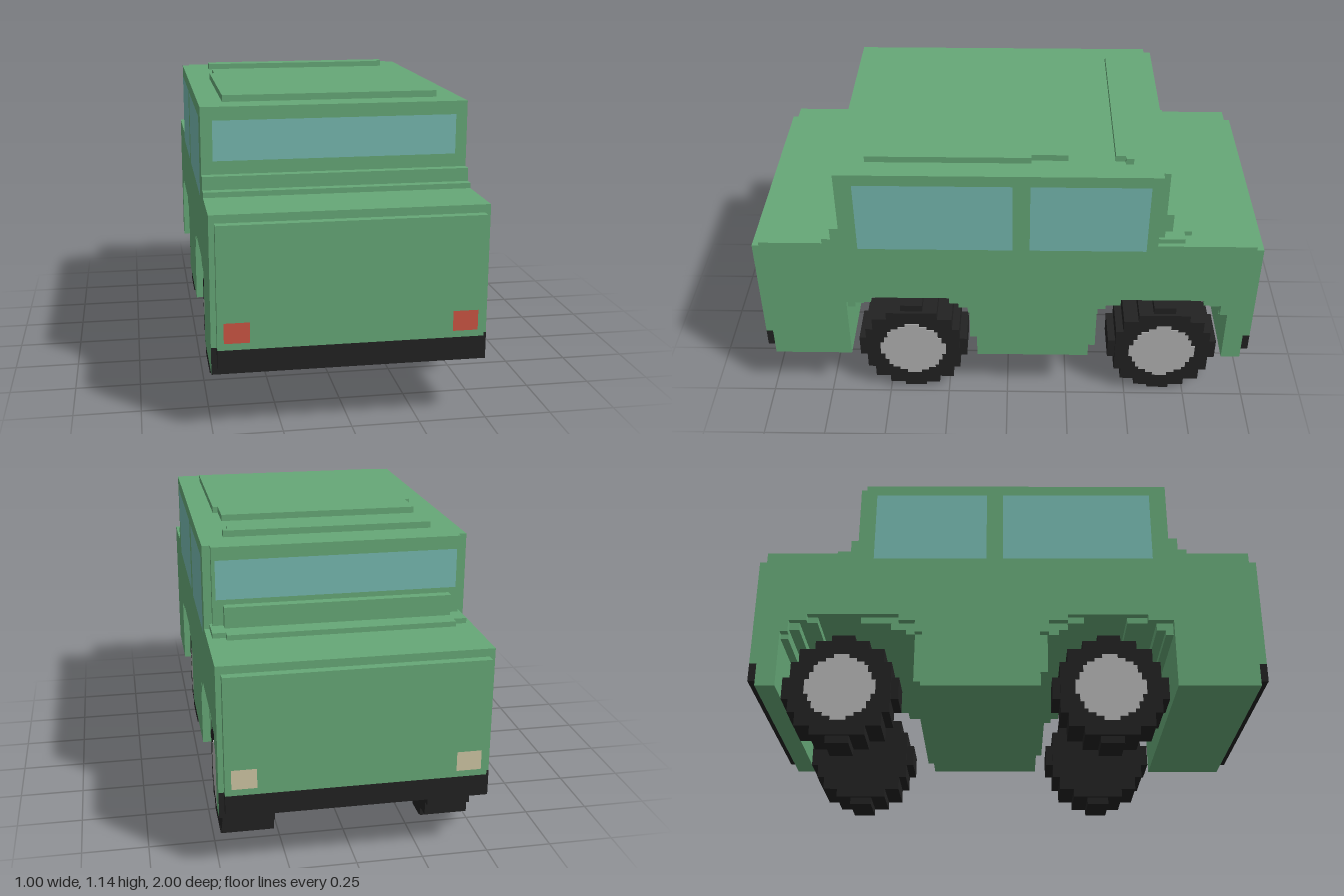
import * as THREE from 'three';

const mat = (color) => new THREE.MeshStandardMaterial({ color, flatShading: true });

export function createModel() {
  const car = new THREE.Group();
  car.name = 'blockyCar';
  const green = mat(0x66a877), black = mat(0x222222), glass = mat(0x76b9b0);
  const red = mat(0xcc5544), cream = mat(0xcfc6a4), grey = mat(0xb3b3b3);

  const add = (name, geometry, material, parent = car) => {
    const mesh = new THREE.Mesh(geometry, material);
    mesh.name = name;
    parent.add(mesh);
    return mesh;
  };
  // box given by its limits
  const box = (name, material, x0, x1, y0, y1, z0, z1) =>
    add(name, new THREE.BoxGeometry(x1 - x0, y1 - y0, z1 - z0), material)
      .position.set((x0 + x1) / 2, (y0 + y1) / 2, (z0 + z1) / 2);
  // side profile of [z, y] points, extruded from x0 to x1
  const slab = (points, x0, x1) => {
    const shape = new THREE.Shape(points.map(([z, y]) => new THREE.Vector2(z, y)));
    return new THREE.ExtrudeGeometry(shape, { depth: x1 - x0, bevelEnabled: false })
      .rotateY(-Math.PI / 2).translate(x1, 0, 0);
  };
  // flat painted patch on the front (dir 1) or back (dir -1)
  const endPatch = (name, material, x0, x1, y0, y1, z, dir) => {
    const m = add(name, new THREE.PlaneGeometry(x1 - x0, y1 - y0), material);
    m.position.set((x0 + x1) / 2, (y0 + y1) / 2, z + dir * 0.002);
    if (dir < 0) m.rotation.y = Math.PI;
  };

  // Body: a core and two outer skins, each with stepped wheel arches
  const top = (back) => [
    [0.967, 0.22], [0.967, 0.8], [0.72, 0.8], [0.72, 0.82], [0.685, 0.82], [0.685, 0.87],
    [0.65, 0.87], [0.65, 1.12], [back, 1.12], [back, 0.8], [-0.967, 0.8], [-0.967, 0.22],
  ];
  const skinArches = [
    [-0.89, 0.22], [-0.89, 0.45], [-0.86, 0.45], [-0.86, 0.5], [-0.79, 0.5], [-0.79, 0.525],
    [-0.43, 0.525], [-0.43, 0.5], [-0.365, 0.5], [-0.365, 0.45], [-0.335, 0.45], [-0.335, 0.22],
    [0.125, 0.22], [0.125, 0.45], [0.16, 0.45], [0.16, 0.5], [0.235, 0.5], [0.235, 0.525],
    [0.55, 0.525], [0.55, 0.5], [0.65, 0.5], [0.65, 0.22],
  ];
  const coreArches = [
    [-0.89, 0.22], [-0.89, 0.43], [-0.86, 0.43], [-0.86, 0.47], [-0.82, 0.47], [-0.82, 0.5],
    [-0.75, 0.5], [-0.75, 0.525], [-0.58, 0.525], [-0.58, 0.5], [-0.46, 0.5], [-0.46, 0.47],
    [-0.4, 0.47], [-0.4, 0.45], [-0.365, 0.45], [-0.365, 0.25], [-0.335, 0.25], [-0.335, 0.22],
    [0.125, 0.22], [0.125, 0.29], [0.155, 0.29], [0.155, 0.45], [0.2, 0.45], [0.2, 0.47],
    [0.235, 0.47], [0.235, 0.5], [0.3, 0.5], [0.3, 0.525], [0.47, 0.525], [0.47, 0.5],
    [0.585, 0.5], [0.585, 0.47], [0.62, 0.47], [0.62, 0.45], [0.65, 0.45], [0.65, 0.22],
  ];
  add('bodyCore', slab([...top(-0.61), ...coreArches], -0.47, 0.47), green);
  add('bodySkinRight', slab([...top(-0.583), ...skinArches], -0.5, -0.47), green);
  add('bodySkinLeft', slab([...top(-0.583), ...skinArches], 0.47, 0.5), green);

  // Steps below the rear window
  box('rearStepUpper', green, -0.43, 0.43, 0.8, 0.9, -0.645, -0.61);
  box('rearStepLower', green, -0.48, 0.48, 0.8, 0.82, -0.69, -0.583);
  box('rearStepLip', green, -0.43, 0.43, 0.8, 0.82, -0.72, -0.69);

  // Raised roof panel and bar
  box('roofPanel', green, -0.41, 0.41, 1.12, 1.145, -0.09, 0.54);
  box('roofPanelRear', green, -0.39, 0.39, 1.12, 1.145, -0.23, -0.09);
  box('roofBar', green, -0.39, 0.39, 1.12, 1.145, -0.475, -0.408);
  box('roofBarTip', green, 0.39, 0.41, 1.12, 1.145, -0.475, -0.445);

  // End panels, bumpers, lights and end windows
  for (const [end, dir, lamp, windowZ] of [['front', 1, red, 0.65], ['rear', -1, cream, -0.61]]) {
    const zs = [dir * 0.967, dir].sort((a, b) => a - b);
    box(end + 'Panel', green, -0.48, 0.48, 0.32, 0.77, ...zs);
    box(end + 'BumperPanel', black, -0.48, 0.48, 0.247, 0.32, ...zs);
    endPatch(end + 'Bumper', black, -0.5, 0.5, 0.22, 0.32, dir * 0.967, dir);
    endPatch(end + 'LightLeft', lamp, 0.365, 0.457, 0.345, 0.42, dir, dir);
    endPatch(end + 'LightRight', lamp, -0.457, -0.365, 0.345, 0.42, dir, dir);
    endPatch(end + 'Window', glass, -0.457, 0.457, 0.92, 1.07, windowZ, dir);
  }

  // Side windows
  for (const s of [1, -1]) {
    for (const [name, z0, z1] of [['frontSideWindow', -0.02, 0.582], ['rearSideWindow', -0.54, -0.087]]) {
      const m = add(name, new THREE.PlaneGeometry(z1 - z0, 0.3), glass);
      m.position.set(s * 0.502, 0.925, (z0 + z1) / 2);
      m.rotation.y = s * Math.PI / 2;
    }
  }

  // Stepped disc outline from the outer corners of one quarter, widest first
  const stepped = (corners) => {
    const quarter = [];
    corners.forEach(([a, b], i) => {
      quarter.push([a, b]);
      if (i < corners.length - 1) quarter.push([corners[i + 1][0], b]);
    });
    const flipped = [...quarter].reverse();
    return [
      ...quarter, ...flipped.map(([a, b]) => [-a, b]),
      ...quarter.map(([a, b]) => [-a, -b]), ...flipped.map(([a, b]) => [a, -b]),
    ];
  };
  const tread = stepped([[0.225, 0.045], [0.195, 0.105], [0.165, 0.16], [0.105, 0.195], [0.045, 0.225]]);
  const tyre = stepped([[0.195, 0.105], [0.165, 0.16], [0.105, 0.195]]);
  const hub = stepped([[0.137, 0.03], [0.12, 0.06], [0.105, 0.09], [0.09, 0.105], [0.06, 0.12], [0.03, 0.137]]);

  // Wheels
  for (const [side, s, inner] of [['Left', 1, 0.28], ['Right', -1, 0.31]]) {
    for (const [end, z] of [['front', 0.395], ['rear', -0.645]]) {
      const wheel = new THREE.Group();
      wheel.name = end + 'Wheel' + side;
      wheel.position.set(0, 0.225, z);
      const part = (name, outline, a, b, m) =>
        add(name, slab(outline, Math.min(s * a, s * b), Math.max(s * a, s * b)), m, wheel);
      part('tyre', tyre, inner, 0.476, black);
      part('tread', tread, inner + 0.012, 0.463, black);
      part('hub', hub, 0.45, 0.479, grey);
      car.add(wheel);
    }
  }
  return car;
}
